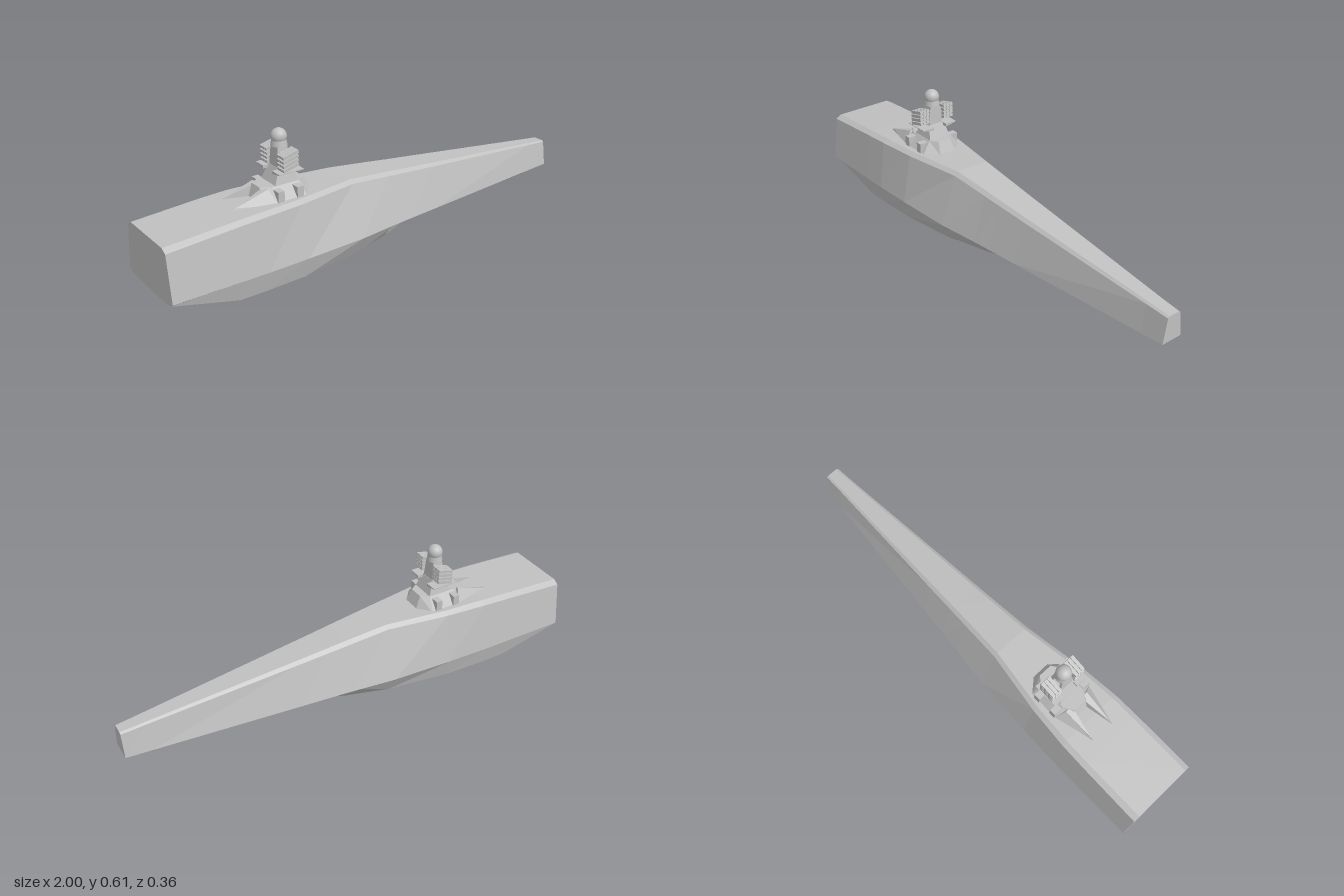
import * as THREE from 'three';

const grey = new THREE.MeshStandardMaterial({ color: 0xc0c0c0 });
grey.name = 'hull grey';

// Skin a list of equal-length rings with flat faces and close both ends.
// Rings run counter-clockwise seen from the last ring's side.
function loft(rings) {
  const pos = [];
  const tri = (...pts) => pts.forEach((p) => pos.push(...p));
  const n = rings[0].length;
  for (let j = 0; j < rings.length - 1; j++) {
    for (let i = 0; i < n; i++) {
      const k = (i + 1) % n;
      const a = rings[j][i], b = rings[j][k], c = rings[j + 1][k], d = rings[j + 1][i];
      tri(a, b, d);
      tri(b, c, d);
    }
  }
  const first = rings[0], last = rings[rings.length - 1];
  for (let i = 1; i < n - 1; i++) {
    tri(first[0], first[i + 1], first[i]);
    tri(last[0], last[i], last[i + 1]);
  }
  const g = new THREE.BufferGeometry();
  g.setAttribute('position', new THREE.Float32BufferAttribute(pos, 3));
  g.computeVertexNormals();
  return g;
}

function add(parent, name, geometry, x = 0, y = 0, z = 0) {
  const m = new THREE.Mesh(geometry, grey);
  m.name = name;
  m.position.set(x, y, z);
  parent.add(m);
  return m;
}

// Full ring at one hull station, mirrored from [z, y] half points and a keel height
function station([x, half, keel]) {
  return [
    ...half.map(([z, y]) => [x, y, z]),
    [x, keel, 0],
    ...half.slice().reverse().map(([z, y]) => [x, y, -z]),
  ];
}

// Rectangular ring at height y
const rect = (x0, x1, z, y) => [[x1, y, z], [x1, y, -z], [x0, y, -z], [x0, y, z]];

// Symmetric ring from [x, z] points listed bow to stern on the +z side
const symRing = (pts, y) => [
  ...pts.map(([x, z]) => [x, y, -z]),
  ...pts.slice().reverse().map(([x, z]) => [x, y, z]),
];

export function createModel() {
  const ship = new THREE.Group();
  ship.name = 'ship';
  const cx = -0.43;

  // Hull: deck edge, chamfer, knuckle, bilge, lower bilge, then keel
  const stations = [
    [-1, [[0.13, 0.33], [0.155, 0.315], [0.18, 0.122], [0.16, 0.108], [0.12, 0.104], ], 0.102],
    [-0.72, [[0.13, 0.347], [0.153, 0.332], [0.18, 0.122], [0.157, 0.034], [0.116, 0.012]], 0],
    [-0.6, [[0.128, 0.352], [0.15, 0.337], [0.18, 0.122], [0.157, 0.034], [0.116, 0.012]], 0],
    [-0.42, [[0.115, 0.352], [0.134, 0.337], [0.175, 0.122], [0.15, 0.034], [0.108, 0.012]], 0],
    [-0.15, [[0.075, 0.352], [0.092, 0.337], [0.163, 0.122], [0.116, 0.038], [0.079, 0.015]], 0],
    [0.04, [[0.066, 0.333], [0.082, 0.318], [0.14, 0.122], [0.122, 0.119], [0.055, 0.035]], 0.031],
    [0.13, [[0.062, 0.323], [0.077, 0.309], [0.131, 0.122], [0.06, 0.116], [0.038, 0.055]], 0.045],
    [0.27, [[0.056, 0.309], [0.07, 0.296], [0.118, 0.122], [0.045, 0.119], [0.03, 0.095]], 0.051],
    [0.9, [[0.027, 0.245], [0.036, 0.238], [0.057, 0.122], [0.04, 0.12], [0.02, 0.1]], 0.08],
    [1, [[0.023, 0.235], [0.032, 0.229], [0.048, 0.122], [0.03, 0.122], [0.015, 0.122]], 0.122],
  ];
  add(ship, 'hull', loft(stations.map(station)));

  // Deckhouse with sloping sides
  add(ship, 'deckhouse', loft([
    symRing([[-0.32, 0.04], [-0.37, 0.098], [-0.5, 0.1], [-0.56, 0.05]], 0.345),
    symRing([[-0.345, 0.03], [-0.38, 0.055], [-0.5, 0.055], [-0.54, 0.03]], 0.402),
  ]));

  const sides = [['left', 1], ['right', -1]];

  for (const [, s] of sides) {
    // Forked wedges trailing aft of the deckhouse
    const order = (ring) => (s > 0 ? ring : ring.reverse());
    add(ship, 'aftWedge', loft([
      order([[-0.5, 0.345, s * 0.1], [-0.5, 0.345, s * 0.015], [-0.68, 0.345, s * 0.052]]),
      order([[-0.52, 0.4, s * 0.058], [-0.52, 0.4, s * 0.025], [-0.66, 0.358, s * 0.052]]),
    ]));

    // Vent boxes along the deckhouse flank
    for (const x of [-0.486, -0.4]) {
      add(ship, 'ventBox', new THREE.BoxGeometry(0.028, 0.05, 0.055), x, 0.37, s * 0.071);
    }
  }

  // Tower in two tapering tiers
  const tower = new THREE.Group();
  tower.name = 'tower';
  ship.add(tower);
  add(tower, 'lowerTower', loft([
    rect(-0.485, -0.378, 0.053, 0.4),
    rect(-0.458, -0.402, 0.037, 0.462),
  ]));
  add(tower, 'upperTower', loft([
    rect(-0.457, -0.403, 0.033, 0.46),
    rect(-0.452, -0.408, 0.024, 0.548),
  ]));

  // Collar and dome
  add(tower, 'domeCollar', new THREE.CylinderGeometry(0.028, 0.033, 0.028, 24), cx, 0.558, 0);
  add(tower, 'dome', new THREE.SphereGeometry(0.032, 24, 16), cx, 0.58, 0);

  for (const [side, s] of sides) {
    // Bracket plate under each launcher
    const bracket = [rect(-0.485, -0.375, 0.09, 0), rect(-0.485, -0.375, 0.09, 0)];
    bracket.forEach((ring, top) => ring.forEach((p) => {
      const outer = p[2] > 0 === s > 0;
      p[2] = s * (outer ? 0.086 : 0.033);
      p[1] = outer ? (top ? 0.459 : 0.456) : (top ? 0.459 : 0.446);
    }));
    add(tower, side + 'Bracket', loft(bracket));

    // Launcher: stacked tubes tilted up toward the bow
    const launcher = new THREE.Group();
    launcher.name = side + 'Launcher';
    tower.add(launcher);
    for (let row = 0; row < 4; row++) {
      for (let col = 0; col < 3; col++) {
        const tube = add(launcher, 'launchTube', new THREE.BoxGeometry(0.07, 0.013, 0.0145),
          cx, 0.475 + row * 0.0172, s * (0.0455 + col * 0.0165));
        tube.rotation.z = 0.25;
      }
    }
    // Mount joining launcher to tower
    add(launcher, 'launcherMount', new THREE.BoxGeometry(0.03, 0.05, 0.055), cx, 0.5, s * 0.05);
  }

  return ship;
}
